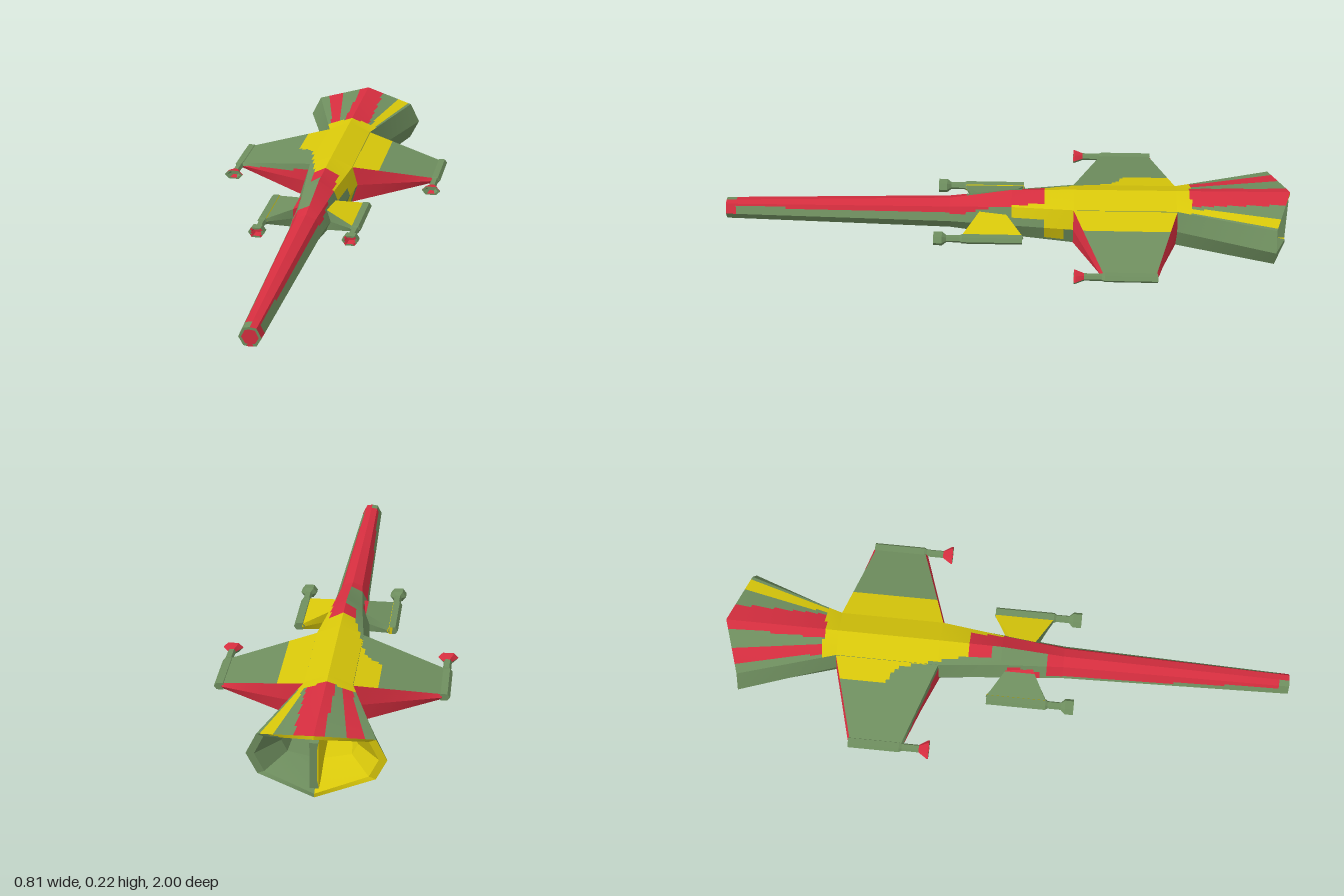
import * as THREE from 'three';

const GREEN = 0, RED = 1, YELLOW = 2;
const MID = 0.11; // height of the centre line
const V = (x, y, z) => new THREE.Vector3(x, y, z);

// Collects quads cut into small cells; a paint rule picks the colour of each cell.
class Hull {
  constructor(paint, flip = false, step = 0.014) {
    this.paint = paint;
    this.flip = flip;
    this.step = step;
    this.cells = [[], [], []];
  }
  tri(a, b, c, colour) {
    if (this.flip) [b, c] = [c, b];
    const area = b.clone().sub(a).cross(c.clone().sub(a)).length();
    if (area > 1e-9) this.cells[colour].push(a, b, c);
  }
  quad(a, b, c, d) {
    const count = (p, q, r, s) =>
      Math.max(1, Math.ceil(Math.max(p.distanceTo(q), r.distanceTo(s)) / this.step));
    const nu = count(a, b, d, c), nv = count(a, d, b, c);
    const at = (u, v) => a.clone().lerp(b, u).lerp(d.clone().lerp(c, u), v);
    const n = c.clone().sub(a).cross(d.clone().sub(b)).normalize();
    if (this.flip) n.negate();
    for (let i = 0; i < nu; i++) {
      for (let j = 0; j < nv; j++) {
        const colour = this.paint(at((i + 0.5) / nu, (j + 0.5) / nv), n);
        const p = [[i, j], [i + 1, j], [i + 1, j + 1], [i, j + 1]].map(([s, t]) => at(s / nu, t / nv));
        this.tri(p[0], p[1], p[2], colour);
        this.tri(p[0], p[2], p[3], colour);
      }
    }
  }
  // Skins closed rings, with optional end caps.
  loft(rings, capStart = true, capEnd = true) {
    const n = rings[0].length;
    for (let i = 0; i + 1 < rings.length; i++) {
      for (let k = 0; k < n; k++) {
        const m = (k + 1) % n;
        this.quad(rings[i][k], rings[i][m], rings[i + 1][m], rings[i + 1][k]);
      }
    }
    const cap = (ring, reverse) => {
      const centre = ring.reduce((s, p) => s.add(p), V(0, 0, 0)).divideScalar(n);
      ring.forEach((p, k) => {
        const q = ring[(k + 1) % n];
        if (reverse) this.quad(centre, centre, q, p);
        else this.quad(centre, centre, p, q);
      });
    };
    if (capStart) cap(rings[0], true);
    if (capEnd) cap(rings[rings.length - 1], false);
    return this;
  }
  mesh(name, materials) {
    const g = new THREE.BufferGeometry();
    g.setFromPoints(this.cells.flat());
    let start = 0;
    this.cells.forEach((c, i) => {
      if (c.length) g.addGroup(start, c.length, i);
      start += c.length;
    });
    g.computeVertexNormals();
    const m = new THREE.Mesh(g, materials);
    m.name = name;
    return m;
  }
}

// Eight-sided body section with a ridge on top and below.
const section = (z, w, sh, top, yt, yb, bot, zRidge = z) => [
  V(w, MID, z), V(sh, yt, z), V(0, top, zRidge), V(-sh, yt, z),
  V(-w, MID, z), V(-sh, yb, z), V(0, bot, zRidge), V(sh, yb, z),
];

// Slanting right-hand edge of the yellow patch across body and wing
function yellowEdge(z) {
  if (z < -0.42) return -0.155;
  if (z < -0.38) return -0.155 + (z + 0.42) * 1.4;
  return -0.1 + (z + 0.38) * 0.24;
}

function paintBody(p, n) {
  const { x, y, z } = p;
  if (n.z > 0.9) return Math.hypot(x, y - MID) < 0.028 ? RED : GREEN;
  if (n.y < -0.8) return z < -0.64 && x > 0.06 ? RED : GREEN;
  if (n.y < -0.1) return x > 0 && z < -0.13 && z > -0.21 && y > 0.055 ? YELLOW : GREEN;
  if (z < -0.65) { // tail stripes
    if (n.y < 0.6) return GREEN;
    const t = x / (0.1 + (-0.6 - z) * 0.34);
    if ((x > -0.03 && x < 0.065) || (t > -0.7 && t < -0.42)) return RED;
    return t > 0.6 && t < 0.79 ? YELLOW : GREEN;
  }
  if (z < -0.13) return (n.y > 0.6 && x > yellowEdge(z)) || (x > 0 && z > -0.24) ? YELLOW : GREEN;
  if (z < 0.14) {
    if (x > 0) {
      if (x < 0.05) return RED;
      return z < -0.02 && y > 0.14 ? YELLOW : GREEN;
    }
    if (z < -0.06) return x > -0.04 ? RED : GREEN;
    return x < -0.055 && z > 0 && z < 0.12 ? RED : GREEN;
  }
  if (z > 0.96) return x < 0 ? GREEN : RED;
  return y > (x > 0 ? 0.135 : 0.128) || (x < 0 && y > 0.12 && z < 0.6) ? RED : GREEN;
}

function paintWing(p, n) {
  const { x, y, z } = p;
  if (n.y > 0.6) return x < 0.17 && x > yellowEdge(z) ? YELLOW : GREEN;
  const height = 0.07 * (1 - (Math.abs(x) - 0.08) / 0.28);
  return x < 0 && n.z > 0 && y > MID + height * 0.6 ? GREEN : RED;
}

function paintForeplane(p, n) {
  if (p.x > 0) return p.x < 0.15 && (n.y > 0.6 || n.z < -0.3) ? YELLOW : GREEN;
  return p.x > -0.068 ? RED : GREEN;
}

// Blade running outwards; each end is [x, zBack, zFront, half height].
function blade(side, root, tip, paint, bulge) {
  const ring = ([x, back, front, h]) => [
    V(side * x, MID, back - bulge), V(side * x, MID + h, back), V(side * x, MID + h, front),
    V(side * x, MID, front + bulge), V(side * x, MID - h, front), V(side * x, MID - h, back),
  ];
  return new Hull(paint, side < 0).loft([ring(root), ring(tip)]);
}

// Six-sided gun pod; each stage is [z, half width, half height].
function pod(cx, stages, paint) {
  const rings = stages.map(([z, w, h]) => [
    V(cx + w, MID, z), V(cx + w * 0.55, MID + h, z), V(cx - w * 0.55, MID + h, z),
    V(cx - w, MID, z), V(cx - w * 0.55, MID - h, z), V(cx + w * 0.55, MID - h, z),
  ]);
  return new Hull(paint).loft(rings);
}

export function createModel() {
  const group = new THREE.Group();
  const materials = [['green', 0x6f8f5f], ['red', 0xd62e3f], ['yellow', 0xd9c80a]].map(([name, color]) => {
    const m = new THREE.MeshStandardMaterial({ color });
    m.name = name;
    return m;
  });
  const add = (name, hull) => group.add(hull.mesh(name, materials));

  // Long body flaring out at the tail
  const rim = section(-0.94, 0.22, 0.185, 0.218, 0.181, 0.04, 0, -1);
  add('fuselage', new Hull(paintBody, false, 0.012).loft([
    rim,
    section(-0.6, 0.1, 0.08, 0.215, 0.181, 0.04, 0.004),
    section(-0.24, 0.1, 0.08, 0.213, 0.18, 0.042, 0.008),
    section(-0.02, 0.08, 0.055, 0.208, 0.172, 0.05, 0.015),
    section(0.2, 0.06, 0.035, 0.17, 0.156, 0.068, 0.055),
    section(1, 0.037, 0.021, 0.145, 0.142, 0.081, 0.078),
  ], false, true));

  // Hollow exhaust narrowing inwards
  const inset = (s, z) => rim.map(p => V(p.x * s, MID + (p.y - MID) * s, z ?? p.z));
  const paintExhaust = p => (p.z > -0.74 || p.x < 0 || p.y > 0.185 ? YELLOW : GREEN);
  add('exhaust', new Hull(paintExhaust).loft(
    [inset(0.5, -0.72), inset(0.55, -0.85), inset(0.88), rim], true, false));

  // Upright divider in the exhaust
  const divider = z => [V(0.014, 0.03, z), V(0.014, 0.19, z), V(-0.014, 0.19, z), V(-0.014, 0.03, z)];
  add('exhaustDivider', new Hull(p => (p.x < -0.01 ? YELLOW : GREEN))
    .loft([divider(-0.995), divider(-0.72)]));

  for (const side of [1, -1]) {
    const label = side > 0 ? 'left' : 'right';

    // Main wing and its tip gun
    add(label + 'Wing', blade(side,
      [0.07, -0.605, -0.235, 0.071], [0.365, -0.52, -0.34, 0.009], paintWing, 0.008));
    add(label + 'WingGun', pod(side * 0.372, [
      [-0.525, 0.02, 0.012], [-0.345, 0.02, 0.012], [-0.335, 0.014, 0.01], [-0.275, 0.014, 0.01],
      [-0.245, 0.034, 0.016], [-0.24, 0.034, 0.016], [-0.24, 0.024, 0.011], [-0.262, 0.014, 0.007],
    ], (p, n) => (p.z > -0.275 && n.z < 0.3 && n.y > -0.3 ? RED : GREEN)));

    // Foreplane and its tip gun
    add(label + 'Foreplane', blade(side,
      [0.045, 0.01, 0.09, 0.04], [0.155, -0.06, 0.15, 0.01], paintForeplane, 0.004));
    add(label + 'ForeplaneGun', pod(side * 0.165, [
      [-0.06, 0.02, 0.013], [0.15, 0.02, 0.013], [0.158, 0.014, 0.01], [0.205, 0.014, 0.01],
      [0.22, 0.029, 0.018], [0.25, 0.029, 0.018], [0.25, 0.02, 0.012], [0.225, 0.014, 0.008],
    ], (p, n) => {
      if (p.z > 0.222 && Math.abs(p.x - side * 0.165) < 0.019 && Math.abs(p.y - MID) < 0.012) return RED;
      return side < 0 && p.x > -0.165 && Math.abs(n.y) < 0.9 && p.z < 0.15 ? YELLOW : GREEN;
    }));
  }
  return group;
}
